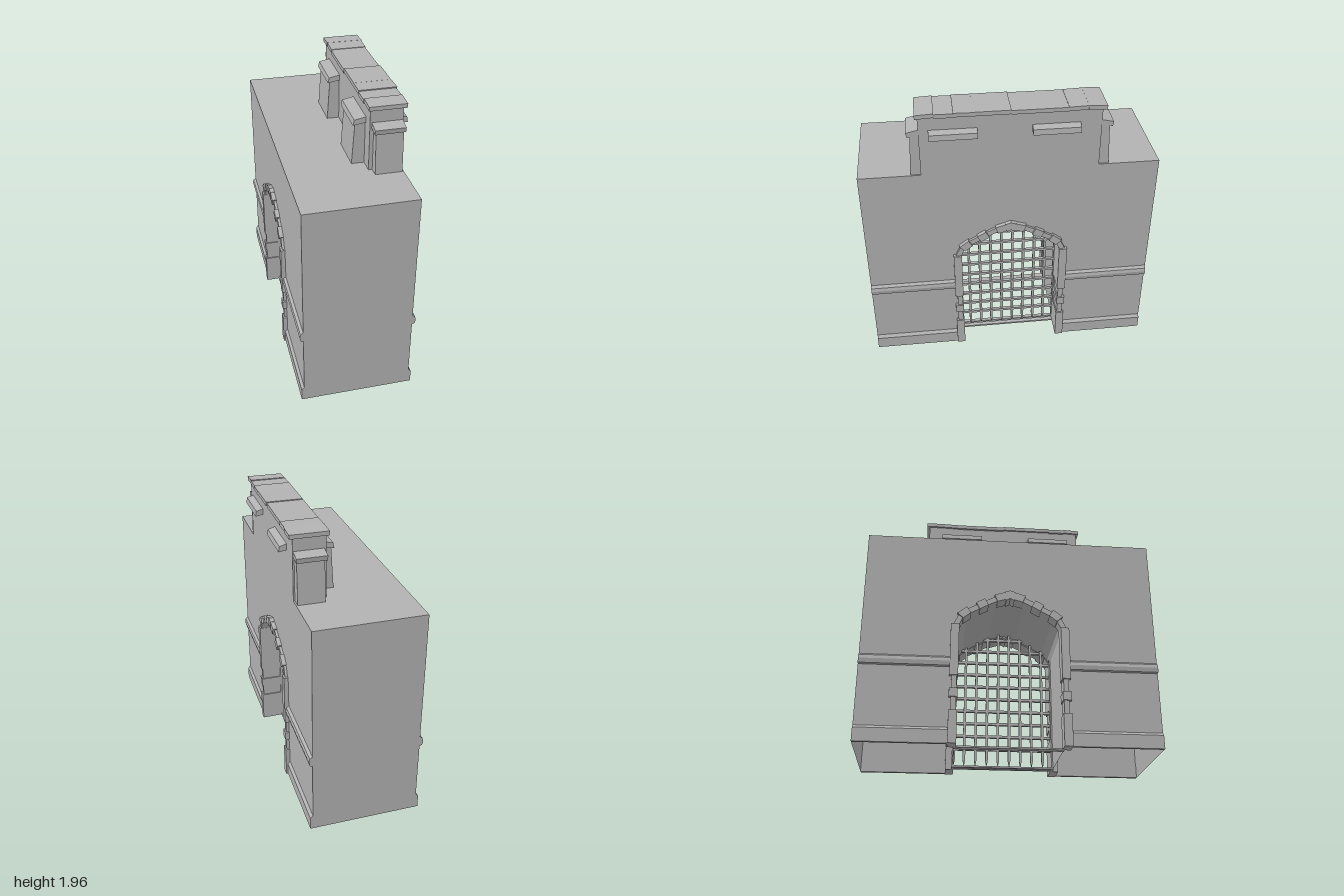
import * as THREE from 'three';

const stone = new THREE.MeshStandardMaterial({ color: 0xb2b2b2, side: THREE.DoubleSide });
stone.name = 'grey stone';

const BACK = -0.385, FRONT = 0.355, TOP = 1.51;

// Half of the pointed opening as [z, y], from the spring line to the apex
const ARCH = [[0.355, 0.82], [0.342, 0.86], [0.3, 0.905], [0.2, 0.962], [0.1, 1.015], [0, 1.045]];

function archHeight(z) {
  const a = Math.min(Math.abs(z), 0.355);
  for (let i = 0; i < ARCH.length - 1; i++) {
    const [z0, y0] = ARCH[i], [z1, y1] = ARCH[i + 1];
    if (a >= z1) return y0 + (y1 - y0) * (z0 - a) / (z0 - z1);
  }
  return 1.045;
}

function archHalfWidth(y) {
  for (let i = 0; i < ARCH.length - 1; i++) {
    const [z0, y0] = ARCH[i], [z1, y1] = ARCH[i + 1];
    if (y <= y0) return z0;
    if (y < y1) return z0 + (z1 - z0) * (y - y0) / (y1 - y0);
  }
  return 0;
}

const toShape = (pts) => new THREE.Shape(pts.map(([a, b]) => new THREE.Vector2(a, b)));

function add(parent, name, geo) {
  const mesh = new THREE.Mesh(geo, stone);
  mesh.name = name;
  parent.add(mesh);
  return mesh;
}

function box(parent, name, x0, x1, y0, y1, z0, z1) {
  const g = new THREE.BoxGeometry(x1 - x0, y1 - y0, z1 - z0);
  g.translate((x0 + x1) / 2, (y0 + y1) / 2, (z0 + z1) / 2);
  return add(parent, name, g);
}

// Profile of [z, y] points extruded along x
function prismX(parent, name, pts, x0, x1) {
  const g = new THREE.ExtrudeGeometry(toShape(pts), { depth: x1 - x0, bevelEnabled: false });
  g.rotateY(-Math.PI / 2).translate(x1, 0, 0);
  return add(parent, name, g);
}

// Profile of [x, y] points extruded along z
function prismZ(parent, name, pts, z0, z1) {
  const g = new THREE.ExtrudeGeometry(toShape(pts), { depth: z1 - z0, bevelEnabled: false });
  g.translate(0, 0, z0);
  return add(parent, name, g);
}

// Hollow wall block, open underneath, with a vaulted passage through it
function buildWall(parent) {
  const wall = new THREE.Group();
  wall.name = 'wall';
  parent.add(wall);
  const left = ARCH.map(([z, y]) => [-z, y]);
  const right = ARCH.slice(0, -1).reverse();
  const outline = [[-1, 0], [-0.355, 0], ...left, ...right, [0.355, 0], [1, 0], [1, TOP], [-1, TOP]];
  add(wall, 'frontFace', new THREE.ShapeGeometry(toShape(outline)).rotateY(Math.PI / 2).translate(FRONT, 0, 0));
  add(wall, 'backFace', new THREE.ShapeGeometry(toShape(outline)).rotateY(-Math.PI / 2).translate(BACK, 0, 0));
  const pos = [];
  outline.forEach(([z0, y0], i) => {
    const [z1, y1] = outline[(i + 1) % outline.length];
    if (y0 === 0 && y1 === 0) return;
    const a = [BACK, y0, z0], b = [FRONT, y0, z0], c = [FRONT, y1, z1], d = [BACK, y1, z1];
    pos.push(...a, ...b, ...c, ...a, ...c, ...d);
  });
  const g = new THREE.BufferGeometry();
  g.setAttribute('position', new THREE.Float32BufferAttribute(pos, 3));
  g.computeVertexNormals();
  add(wall, 'sidesAndPassage', g);
}

// Plinth and string course on one face; s is +1 for the gate side, -1 behind
function buildBands(parent, face, s) {
  const p = (off, y) => [face + s * off, y];
  for (const [z0, z1] of [[-1, -0.375], [0.375, 1]]) {
    prismZ(parent, 'plinth', [p(-0.005, 0), p(0.018, 0), p(0.018, 0.09), p(0, 0.11), p(-0.005, 0.11)], z0, z1);
    prismZ(parent, 'stringCourse',
      [p(-0.005, 0.525), p(0.018, 0.53), p(0.024, 0.56), p(0.018, 0.585), p(0, 0.6), p(-0.005, 0.6)], z0, z1);
  }
}

// Jamb stones and arch stones around one end of the passage
function buildSurround(parent, face, s, depth) {
  const group = new THREE.Group();
  group.name = 'archSurround';
  parent.add(group);
  const inner = face - s * depth;
  const span = (out) => [Math.min(inner, face + s * out), Math.max(inner, face + s * out)];
  const joints = [0, 0.22, 0.31, 0.37, 0.46, 0.535, 0.67, 0.83];
  for (const side of [-1, 1]) {
    for (let i = 0; i < joints.length - 1; i++) {
      const wide = i % 2 === 0 || i === 5;
      const a = side * (wide ? 0.345 : 0.353), b = side * (wide ? 0.402 : 0.388);
      const [x0, x1] = span(wide ? 0.03 : 0.02);
      box(group, 'jambStone', x0, x1, joints[i], joints[i + 1], Math.min(a, b), Math.max(a, b));
    }
    // Arch stones follow the curve with alternating thickness
    const curve = new THREE.CatmullRomCurve3(ARCH.map(([z, y]) => new THREE.Vector3(z, y, 0)));
    const n = 6;
    for (let i = 0; i < n; i++) {
      const thick = i % 2 ? 0.046 : 0.034, low = i % 2 ? 0.008 : 0.003;
      const edge = (t) => {
        const p = curve.getPointAt(t), d = curve.getTangentAt(t);
        return [[side * (p.x - d.y * low), p.y + d.x * low], [side * (p.x + d.y * thick), p.y - d.x * thick]];
      };
      const [a, b] = edge(i / n * 0.94), [c, d] = edge((i + 1) / n * 0.94);
      const [x0, x1] = span(i % 2 ? 0.03 : 0.018);
      prismX(group, 'archStone', [a, b, d, c], x0, x1);
    }
  }
  const [x0, x1] = span(0.032);
  prismX(group, 'keystone', [[-0.028, 1.02], [0, 1.037], [0.028, 1.02], [0.036, 1.085], [0, 1.097], [-0.036, 1.085]], x0, x1);
}

// Lattice gate with pointed feet
function buildPortcullis(parent) {
  const gate = new THREE.Group();
  gate.name = 'portcullis';
  parent.add(gate);
  const r = 0.009;
  for (let i = 0; i < 9; i++) {
    const z = 0.287 - 0.08 * i, h = archHeight(z);
    const zz = Math.max(-0.346, z);
    prismX(gate, 'uprightBar', [[zz, 0.015], [zz + r, 0.06], [zz + r, h], [zz - r, h], [zz - r, 0.06]], 0.192, 0.21);
  }
  for (let i = 0; i < 10; i++) {
    const y = 0.14 + 0.0945 * i, w = archHalfWidth(y);
    box(gate, 'crossBar', 0.196, 0.218, y - r, y + r, -w, w);
  }
  // Guide rails and sills
  for (const z of [-0.352, 0.352]) box(gate, 'guideRail', 0.17, 0.235, 0, 0.83, z - 0.007, z + 0.007);
  box(parent, 'frontSill', 0.165, 0.19, 0, 0.012, -0.36, 0.36);
  box(parent, 'frontSill', 0.205, 0.235, 0, 0.012, -0.36, 0.36);
  box(parent, 'backSill', -0.32, -0.275, 0, 0.012, -0.36, 0.36);
}

// Raised parapet with buttresses, ledges and coping slabs
function buildParapet(parent) {
  const top = new THREE.Group();
  top.name = 'parapet';
  parent.add(top);
  box(top, 'parapetWall', 0.14, FRONT, TOP, 1.94, -0.588, 0.588);

  for (const [z0, z1] of [[0.19, 0.5], [-0.485, -0.175]]) {
    prismZ(top, 'rearButtress', [[0.055, TOP], [0.15, TOP], [0.15, 1.81], [0.073, 1.8]], z0 + 0.015, z1 - 0.015);
    prismZ(top, 'rearButtressCap', [[0.056, 1.79], [0.15, 1.805], [0.15, 1.845], [0.064, 1.828]], z0, z1);
  }
  for (const [z0, z1] of [[0.215, 0.525], [-0.447, -0.137]])
    prismZ(top, 'frontLedge', [[0.345, 1.8], [0.408, 1.788], [0.402, 1.826], [0.345, 1.842]], z0, z1);
  for (const s of [-1, 1]) {
    prismX(top, 'endButtress', [[s * 0.58, TOP], [s * 0.656, TOP], [s * 0.642, 1.8], [s * 0.58, 1.81]], 0.165, 0.345);
    prismX(top, 'endButtressCap', [[s * 0.58, 1.81], [s * 0.66, 1.792], [s * 0.666, 1.825], [s * 0.58, 1.845]], 0.152, 0.352);
  }

  // Slightly uneven coping slabs
  const cuts = [-0.61, -0.49, -0.365, 0, 0.24, 0.365, 0.485, 0.605];
  for (let i = 0; i < cuts.length - 1; i++) {
    const a = 0.004 * Math.sin(i * 2.3), b = 0.004 * Math.cos(i * 1.7);
    prismX(top, 'copingSlab', [
      [cuts[i], 1.932 + a], [cuts[i + 1], 1.932 + b], [cuts[i + 1], 1.96 + b], [cuts[i], 1.96 + a],
    ], 0.125 + a / 2, 0.377 + b);
  }
}

export function createModel() {
  const model = new THREE.Group();
  model.name = 'gatehouse';
  buildWall(model);
  buildBands(model, FRONT, 1);
  buildBands(model, BACK, -1);
  buildSurround(model, FRONT, 1, 0.12);
  buildSurround(model, BACK, -1, 0.07);
  buildPortcullis(model);
  buildParapet(model);
  return model;
}
